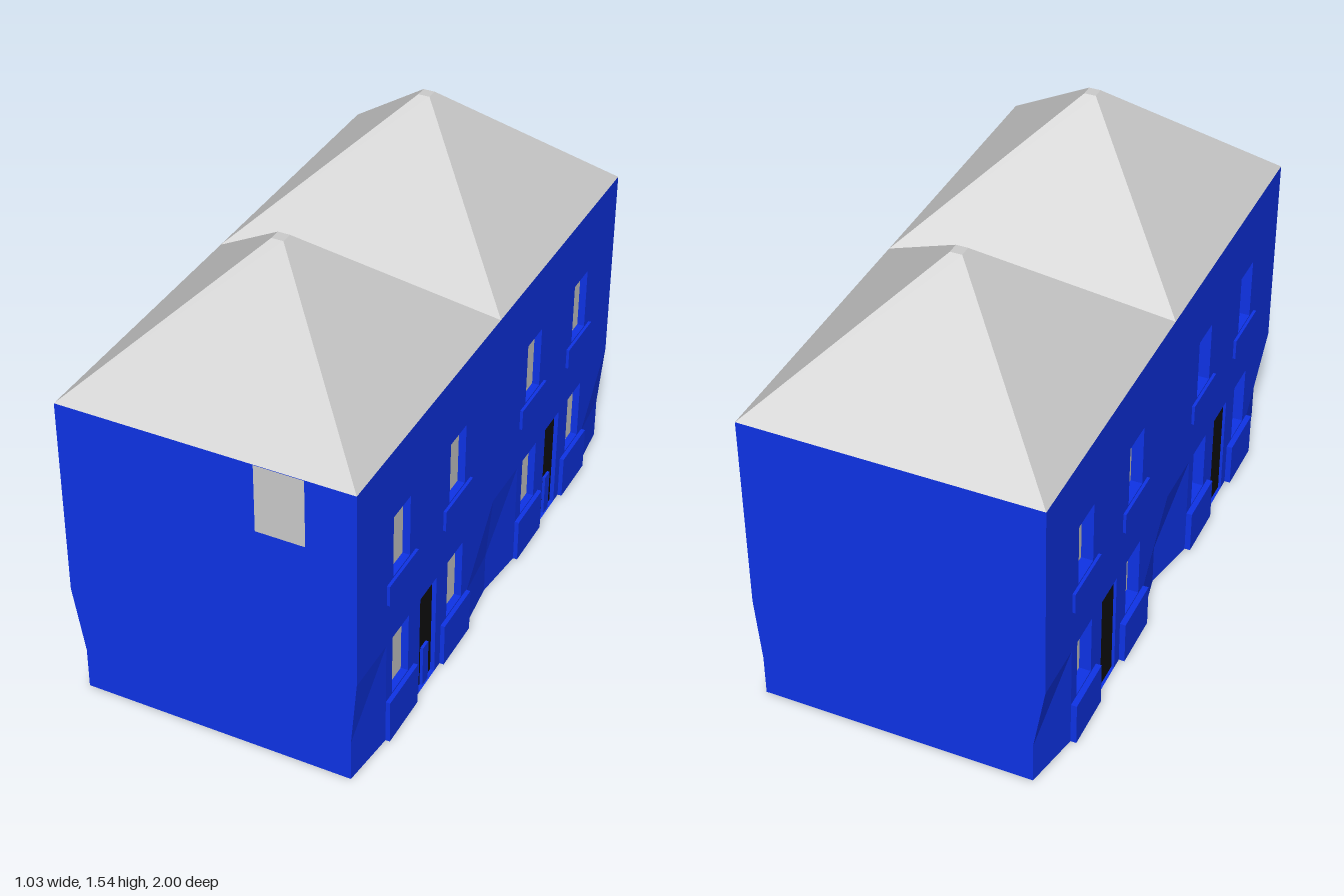
import * as THREE from 'three';

const BLUE = new THREE.MeshStandardMaterial({ color: 0x0e33e7, flatShading: true, side: THREE.DoubleSide });
const GREY = new THREE.MeshStandardMaterial({ color: 0xcccccc, flatShading: true, side: THREE.DoubleSide });
const BLACK = new THREE.MeshStandardMaterial({ color: 0x101010, flatShading: true, side: THREE.DoubleSide });

const EAVES = 1.1, PEAK = 1.54, HALF = 0.5;
const WINDOWS = [0.3, 0.7];              // window centres along each house
const FLOORS = [[0.165, 0.39], [0.63, 0.855]];
const WIN = 0.0575, DOOR = 0.06, DOOR_TOP = 0.39;

function add(parent, name, geometry, material, x = 0, y = 0, z = 0) {
  const mesh = new THREE.Mesh(geometry, material);
  mesh.name = name;
  mesh.position.set(x, y, z);
  parent.add(mesh);
  return mesh;
}

const polygon = pts => new THREE.Shape(pts.map(p => new THREE.Vector2(...p)));

// flat wall of one house, with window holes and a door notch
function piercedWall(c) {
  const shape = polygon([
    [c - 0.3, 0], [c - DOOR, 0], [c - DOOR, DOOR_TOP], [c + DOOR, DOOR_TOP],
    [c + DOOR, 0], [c + 0.3, 0], [c + 0.3, EAVES], [c - 0.3, EAVES],
  ]);
  for (const w of [c - 0.2, c + 0.2]) {
    for (const [y0, y1] of FLOORS) {
      shape.holes.push(polygon([[w - WIN, y0], [w - WIN, y1], [w + WIN, y1], [w + WIN, y0]]));
    }
  }
  return new THREE.ExtrudeGeometry(shape, { depth: 0.06, bevelEnabled: false });
}

// wall strip that draws in towards its foot at one or both ends
function taperedStrip(u0, u1, inset0, inset1) {
  const g = new THREE.PlaneGeometry(1, 1, 1, 3);
  const p = g.attributes.position;
  const rows = [EAVES, 0.39, 0.15, 0];
  for (let i = 0; i < p.count; i++) {
    const row = i >> 1, end = i % 2;
    const inset = row > 1 ? (end ? inset1 : inset0) : 0;
    p.setXYZ(i, end ? u1 : u0, rows[row], HALF - inset);
  }
  g.computeVertexNormals();
  return g;
}

// one long side, built facing +z and turned to face outwards
function createSide(sign, inset, recess, doorRecess, sillOut) {
  const side = new THREE.Group();
  side.name = sign > 0 ? 'leftSide' : 'rightSide';
  side.rotation.y = sign * Math.PI / 2;

  const strips = [[-1, -0.8, inset, 0], [-0.2, 0, 0, inset], [0, 0.2, inset, 0], [0.8, 1, 0, inset]];
  for (const s of strips) add(side, 'taperedWall', taperedStrip(...s), BLUE);

  for (const c of [-0.5, 0.5]) {
    add(side, 'houseWall', piercedWall(c), BLUE, 0, 0, HALF - 0.06);
    add(side, 'door', new THREE.PlaneGeometry(2 * DOOR, DOOR_TOP), BLACK, c, DOOR_TOP / 2, HALF - doorRecess);
    if (sign > 0) {
      add(side, 'doorBlock', new THREE.BoxGeometry(0.04, 0.155, 0.02), BLUE, c, 0.0775, HALF - doorRecess);
    }
    for (const w of [c - 0.2, c + 0.2]) {
      for (const [y0, y1] of FLOORS) {
        add(side, 'windowPane', new THREE.PlaneGeometry(2 * WIN, y1 - y0), GREY, w, (y0 + y1) / 2, HALF - recess);
      }
      // plinth below the lower window, sill below the upper one
      const lower = sillOut + 0.03;
      add(side, 'windowPlinth', new THREE.BoxGeometry(0.2, 0.16, lower), BLUE, w, 0.08, HALF - 0.03 + lower / 2);
      add(side, 'windowSill', new THREE.BoxGeometry(0.2, 0.075, 0.04), BLUE, w, 0.5875, HALF - 0.01);
    }
  }
  return side;
}

export function createModel() {
  const model = new THREE.Group();
  model.name = 'pairOfHouses';
  const inL = 0.02, inR = 0.04;

  model.add(createSide(1, inL, 0.025, 0.015, 0.015));
  model.add(createSide(-1, inR, 0.04, 0.01, 0.02));

  // end walls follow the drawn-in feet of the corners
  const l = HALF - inL, r = -HALF + inR;
  const endShape = polygon([
    [r, 0], [l, 0], [l, 0.15], [HALF, 0.39], [HALF, EAVES], [-HALF, EAVES], [-HALF, 0.39], [r, 0.15],
  ]);
  add(model, 'frontWall', new THREE.ShapeGeometry(endShape), BLUE, 0, 0, 1);
  add(model, 'backWall', new THREE.ShapeGeometry(endShape), BLUE, 0, 0, -1);
  add(model, 'frontPanel', new THREE.PlaneGeometry(0.165, 0.24), GREY, 0.2525, 0.98, 1.002);

  // floor
  const floor = polygon([
    [l, -1], [HALF, -0.8], [HALF, -0.2], [l, 0], [HALF, 0.2], [HALF, 0.8], [l, 1],
    [r, 1], [-HALF, 0.8], [-HALF, 0.2], [r, 0], [-HALF, -0.2], [-HALF, -0.8], [r, -1],
  ]);
  const base = new THREE.ShapeGeometry(floor);
  base.rotateX(Math.PI / 2);
  add(model, 'floor', base, BLUE);

  // two blunt pyramid roofs
  for (const z of [-0.5, 0.5]) {
    const roof = new THREE.CylinderGeometry(0.02 * Math.SQRT2, HALF * Math.SQRT2, PEAK - EAVES, 4);
    roof.rotateY(Math.PI / 4);
    add(model, 'roof', roof, GREY, 0, (PEAK + EAVES) / 2, z);
  }
  return model;
}
